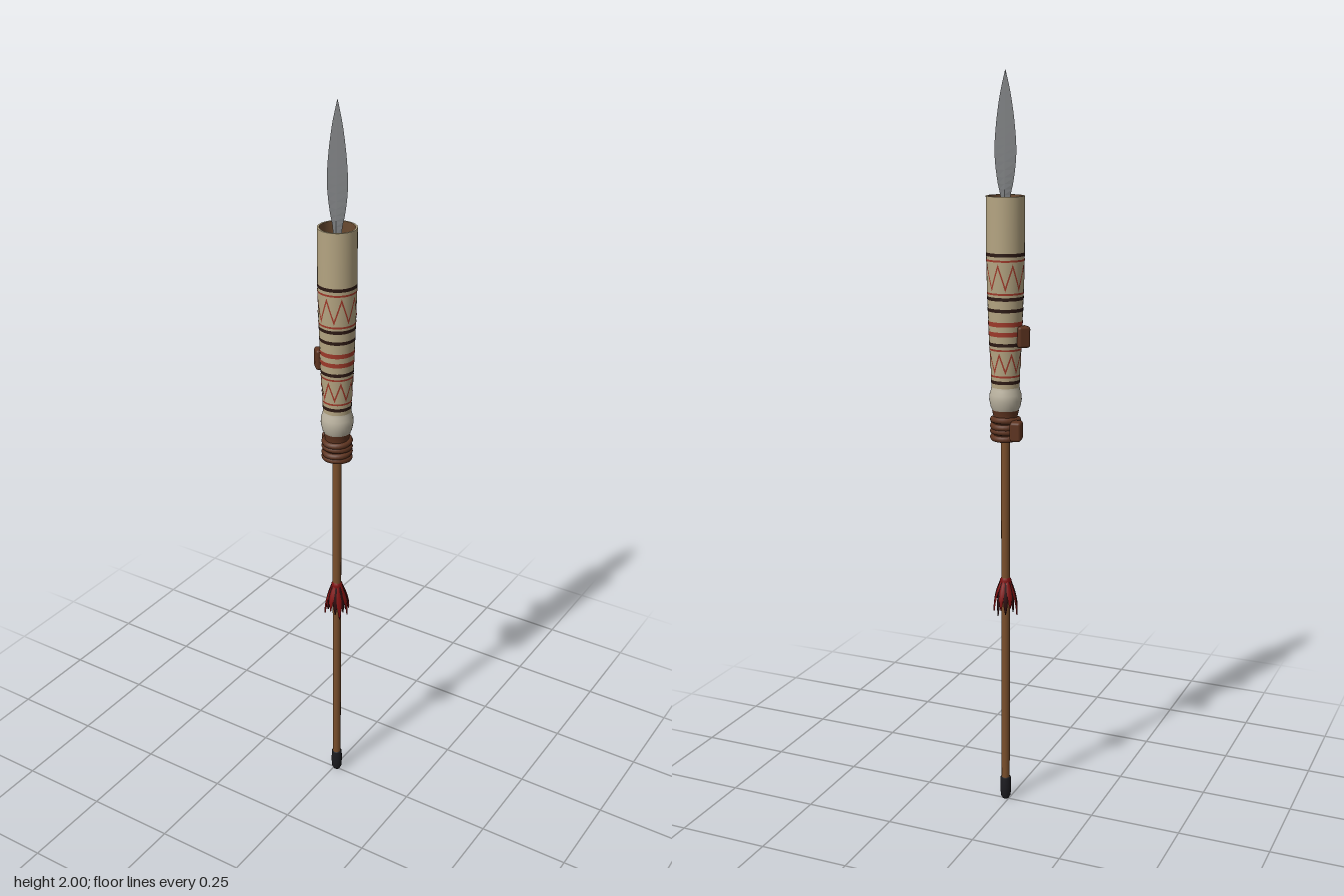
import * as THREE from 'three';
import { RoundedBoxGeometry } from 'three/addons/geometries/RoundedBoxGeometry.js';

const mat = (color, extra = {}) => new THREE.MeshStandardMaterial({ color, ...extra });
const wood = mat(0x7a4f2c);
const bone = mat(0xb5a582);
const ivory = mat(0xbdb5a2);
const leather = mat(0x5e3420);
const lining = mat(0x6a4a30);
const dark = mat(0x2e1a14, { side: THREE.DoubleSide });
const red = mat(0xa03a2a, { side: THREE.DoubleSide });
const featherRed = mat(0x7e1010, { side: THREE.DoubleSide });
const featherDark = mat(0x2a0a0c, { side: THREE.DoubleSide });
const black = mat(0x1c1c20);
const steel = mat(0x7c7e80, { flatShading: true });

const lathe = (points, segments = 32) =>
  new THREE.LatheGeometry(points.map(([r, y]) => new THREE.Vector2(r, y)), segments);

// Applies a rule to every vertex
function bend(geometry, rule) {
  const p = geometry.attributes.position;
  const v = new THREE.Vector3();
  for (let i = 0; i < p.count; i++) {
    rule(v.fromBufferAttribute(p, i));
    p.setXYZ(i, v.x, v.y, v.z);
  }
  geometry.computeVertexNormals();
  return geometry;
}

// Sleeve profile, radius then height, from bottom to top
const sleeve = [[0.037, 1.19], [0.038, 1.23], [0.042, 1.3], [0.045, 1.38], [0.048, 1.46], [0.05, 1.55], [0.05, 1.69]];
function sleeveRadius(y) {
  for (let i = 1; i < sleeve.length; i++) {
    const [r0, y0] = sleeve[i - 1], [r1, y1] = sleeve[i];
    if (y <= y1) return r0 + (r1 - r0) * (y - y0) / (y1 - y0);
  }
  return 0.05;
}

export function createModel() {
  const model = new THREE.Group();
  const spear = new THREE.Group();
  spear.name = 'spear';
  spear.position.x = 0.009;
  model.add(spear);
  const add = (name, geometry, material, parent = spear) => {
    const mesh = new THREE.Mesh(geometry, material);
    mesh.name = name;
    parent.add(mesh);
    return mesh;
  };
  const group = (name) => {
    const g = new THREE.Group();
    g.name = name;
    spear.add(g);
    return g;
  };

  // Shaft and butt cap
  const shaft = new THREE.CylinderGeometry(0.0125, 0.0115, 1.59, 14);
  add('shaft', shaft, wood).position.y = 0.845;
  add('buttCap', lathe([[0, 0], [0.009, 0.002], [0.014, 0.012], [0.0155, 0.035], [0.0145, 0.066], [0.0115, 0.068]], 14), black);

  // Leaf blade: diamond section whose width follows a curve
  const outline = new THREE.SplineCurve([
    [0.012, 1.6], [0.013, 1.68], [0.023, 1.73], [0.03, 1.795], [0.026, 1.865], [0.015, 1.94], [0.0005, 2],
  ].map(([x, y]) => new THREE.Vector2(x, y)));
  const blade = bend(new THREE.CylinderGeometry(1, 1, 1, 4, 20), (v) => {
    const t = v.y + 0.5, p = outline.getPoint(t);
    v.set(v.x * p.x, p.y, v.z * (0.007 * (1 - t) + 0.0006));
  });
  add('blade', blade, steel);

  // Hollow sleeve with its rim and lining
  add('sleeve', lathe(sleeve), bone);
  add('sleeveRim', lathe([[0.05, 1.69], [0.045, 1.69]]), bone);
  add('sleeveLining', lathe([[0.045, 1.69], [0.045, 1.55], [0.034, 1.22], [0.03, 1.05]]), lining);

  // Painted rings around the sleeve
  const rings = group('paintedRings');
  const ring = (y, h, material) => add('paintedRing', lathe([
    [sleeveRadius(y - h / 2) + 0.0006, y - h / 2], [sleeveRadius(y + h / 2) + 0.0006, y + h / 2],
  ]), material, rings);
  for (const y of [1.543, 1.43, 1.4, 1.31, 1.21]) ring(y, 0.009, dark);
  for (const y of [1.528, 1.443, 1.296, 1.226]) ring(y, 0.005, red);
  for (const y of [1.364, 1.338]) ring(y, 0.012, red);

  // Painted zigzags: a ribbon wrapped around the sleeve
  const zigzag = (low, high, count) => {
    const ribbon = new THREE.PlaneGeometry(1, 0.012, count * 12, 1);
    add('paintedZigzag', bend(ribbon, (v) => {
      const u = v.x + 0.5, a = u * Math.PI * 2;
      const wave = Math.abs(((u * count + 1e-6) % 1) * 2 - 1);
      const y = low + (high - low) * wave + v.y;
      const r = sleeveRadius(y) + 0.001;
      v.set(Math.sin(a) * r, y, Math.cos(a) * r);
    }), red);
  };
  zigzag(1.456, 1.515, 8);
  zigzag(1.238, 1.284, 8);

  // Knob below the sleeve and the leather collar
  add('knob', lathe([[0.033, 1.128], [0.039, 1.14], [0.043, 1.16], [0.042, 1.175], [0.038, 1.188], [0.037, 1.195]]), ivory);
  add('collar', lathe([[0.03, 1.05], [0.033, 1.06], [0.033, 1.105], [0.032, 1.115], [0.036, 1.133]]), leather);

  // Cord coils around the collar
  const coils = group('cordCoils');
  for (let i = 0; i < 4; i++) {
    const coil = add('cordCoil', new THREE.TorusGeometry(0.033, 0.0085, 8, 28), leather, coils);
    coil.rotation.set(Math.PI / 2 + (i % 2 ? 0.06 : -0.06), 0, 0);
    coil.position.y = 1.059 + i * 0.0155;
  }

  // Leather knots on the side of the sleeve and of the collar
  const sideKnot = add('sleeveKnot', new RoundedBoxGeometry(0.034, 0.056, 0.034, 2, 0.007), leather);
  sideKnot.position.set(-0.048, 1.33, 0);
  sideKnot.rotation.y = Math.PI / 4;
  const lowKnot = add('collarKnot', new RoundedBoxGeometry(0.03, 0.052, 0.04, 2, 0.007), leather);
  lowKnot.position.set(-0.043, 1.084, -0.029);
  lowKnot.rotation.y = 0.2;

  // Feather tuft: curved tapering strips fanned around the shaft
  const tuft = group('featherTuft');
  const count = 16;
  for (let i = 0; i < count; i++) {
    const odd = i % 2;
    const length = 0.075 + ((i * 7) % 5) * 0.006;
    const reach = odd ? 0.017 : 0.021;
    const strip = bend(new THREE.PlaneGeometry(1, 1, 2, 7), (v) => {
      const t = 0.5 - v.y;
      const width = 0.006 + 0.01 * Math.sin(Math.PI * Math.min(1, t * 0.98)) - 0.004 * t;
      const fold = 0.003 * (1 - Math.abs(v.x) * 2);
      v.set(v.x * width, 0.658 - length * t, 0.0115 + fold + reach * Math.sin(t * Math.PI * 0.55));
    });
    add('feather', strip, odd ? featherDark : featherRed, tuft).rotation.y = (i / count) * Math.PI * 2;
  }
  add('featherBinding', lathe([[0.0115, 0.635], [0.016, 0.64], [0.016, 0.657], [0.0115, 0.664]], 16), featherRed);

  return model;
}
